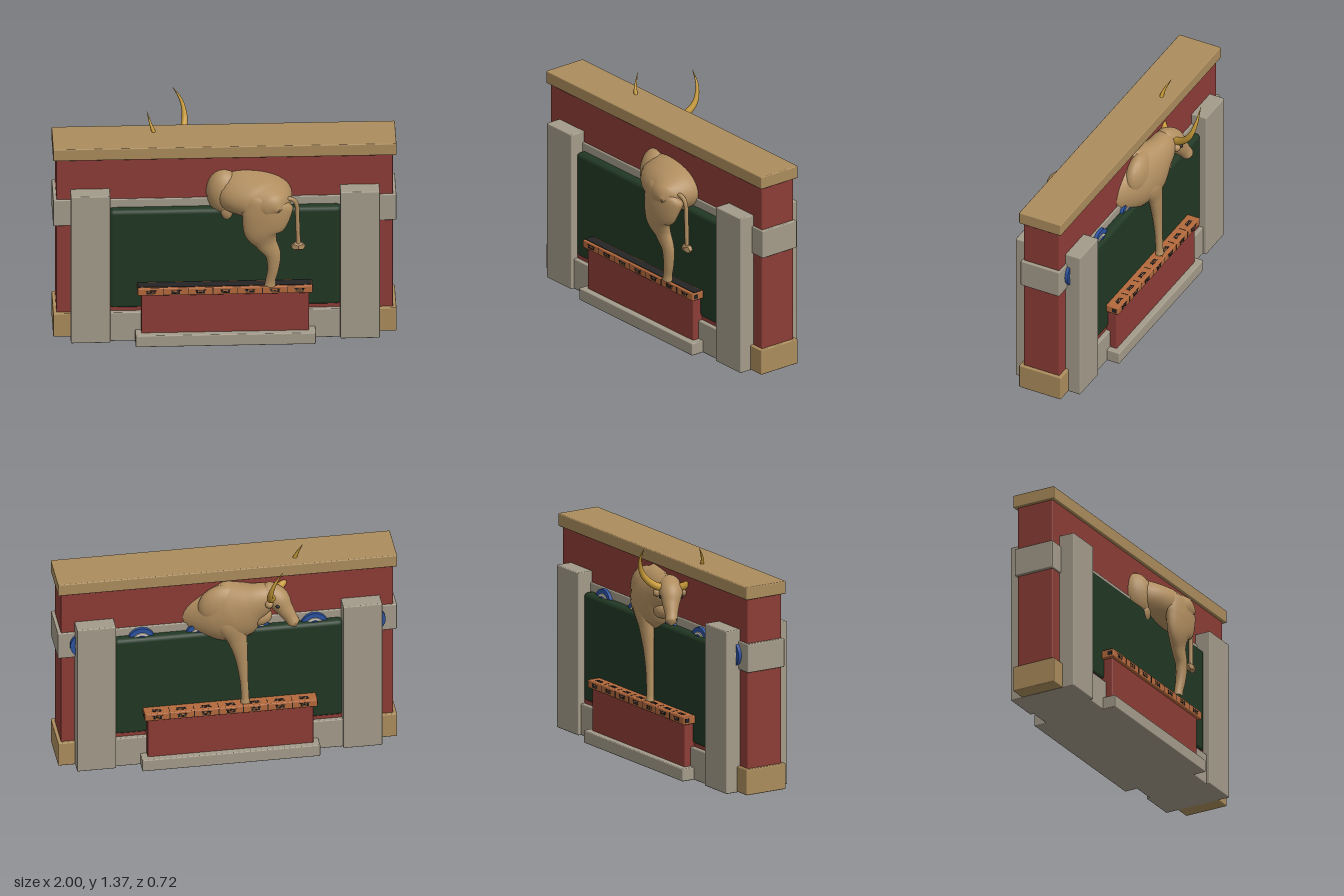
import * as THREE from 'three';
import { RoundedBoxGeometry } from 'three/addons/geometries/RoundedBoxGeometry.js';

const V = (x, y, z) => new THREE.Vector3(x, y, z);
const ZC = 0.0275; // middle of the wall thickness

function makeMaterials() {
  const colors = { brickRed: 0x8c3c36, stone: 0xa39b8a, sandstone: 0xab8c5c, hide: 0xb18e60, boardGreen: 0x213824,
    black: 0x242424, terracotta: 0xb4693c, hornGold: 0xc79a38, shieldBlue: 0x2c52a0, ivory: 0xd6cfc0 };
  const mats = {};
  for (const [name, color] of Object.entries(colors)) {
    mats[name] = new THREE.MeshStandardMaterial({ color });
    mats[name].name = name;
  }
  return mats;
}

// Smooth skin over elliptical sections [x, y, z, halfWidth, halfHeight]; ref fixes which way "height" points
function loft(sections, ref, steps = 28, sides = 24) {
  const path = new THREE.CatmullRomCurve3(sections.map(s => V(s[0], s[1], s[2])));
  const radii = new THREE.CatmullRomCurve3(sections.map(s => V(s[3], s[4], 0)));
  const pos = [], index = [];
  for (let i = 0; i <= steps; i++) {
    const t = i / steps, c = path.getPoint(t), r = radii.getPoint(t), tan = path.getTangent(t);
    const side = ref.clone().cross(tan).normalize(), up = tan.clone().cross(side);
    for (let j = 0; j < sides; j++) {
      const a = j / sides * Math.PI * 2;
      const p = c.clone().addScaledVector(side, Math.cos(a) * Math.max(r.x, 0.001))
        .addScaledVector(up, Math.sin(a) * Math.max(r.y, 0.001));
      pos.push(p.x, p.y, p.z);
      if (i < steps) {
        const k = i * sides + j, n = i * sides + (j + 1) % sides;
        index.push(k, n, k + sides, n, n + sides, k + sides);
      }
    }
  }
  const g = new THREE.BufferGeometry();
  g.setAttribute('position', new THREE.Float32BufferAttribute(pos, 3));
  g.setIndex(index);
  g.computeVertexNormals();
  return g;
}

export function createModel() {
  const root = new THREE.Group();
  root.name = 'bullWall';
  const M = makeMaterials();
  const add = (name, geo, mat, parent = root) => {
    const m = new THREE.Mesh(geo, mat);
    m.name = name;
    parent.add(m);
    return m;
  };
  // Box from extents, slightly rounded unless radius is 0
  const block = (name, x0, x1, y0, y1, z0, z1, mat, radius = 0.006, parent = root) => {
    const s = [x1 - x0, y1 - y0, z1 - z0];
    const g = radius ? new RoundedBoxGeometry(...s, 2, radius) : new THREE.BoxGeometry(...s);
    const m = add(name, g, mat, parent);
    m.position.set((x0 + x1) / 2, (y0 + y1) / 2, (z0 + z1) / 2);
    return m;
  };
  const ball = (name, p, r, mat, parent) => {
    const m = add(name, new THREE.SphereGeometry(1, 20, 14), mat, parent);
    m.position.set(...p);
    m.scale.set(...r);
    return m;
  };

  // Wall
  block('wall', -0.98, 0.98, 0.01, 1.185, -0.09, 0.145, M.brickRed);
  block('wallCap', -1, 1, 1.18, 1.257, -0.11, 0.165, M.sandstone);
  block('wallFoot', -1, 1, 0.003, 0.158, -0.11, 0.165, M.sandstone);
  block('lintel', -1, 1, 0.74, 0.912, -0.1, 0.155, M.stone);
  block('lowerBand', -0.68, 0.68, 0, 0.19, -0.165, 0.22, M.stone);
  block('lowerFillet', -0.67, 0.67, 0.15, 0.23, -0.14, 0.195, M.brickRed, 0);
  block('greenPanel', -0.675, 0.675, 0.208, 0.86, -0.15, 0.205, M.boardGreen, 0.025);
  for (const s of [-1, 1]) {
    const p = block('pillar', -0.115, 0.115, 0, 0.98, ZC - 0.213, ZC + 0.213, M.stone);
    p.position.x = s * 0.785;
  }

  // Round shields along the back of the lintel
  for (let i = 0; i < 6; i++) {
    const shield = new THREE.Group();
    shield.name = 'shield';
    shield.position.set(-0.85 + i * 0.34, 0.83, -0.1);
    shield.rotation.x = -Math.PI / 2;
    const layers = [[0.08, 0.02, M.shieldBlue], [0.052, 0.026, M.ivory], [0.036, 0.032, M.shieldBlue]];
    for (const [r, h, mat] of layers) {
      add('shieldRing', new THREE.CylinderGeometry(r, r, h, 32), mat, shield).position.y = h / 2;
    }
    ball('shieldBoss', [0, 0.03, 0], [0.018, 0.02, 0.018], M.hornGold, shield);
    root.add(shield);
  }

  // Pedestal and ledge
  block('plinth', -0.525, 0.525, 0, 0.076, ZC - 0.272, ZC + 0.272, M.stone);
  block('pedestal', -0.49, 0.487, 0.07, 0.34, ZC - 0.235, ZC + 0.235, M.brickRed);
  block('ledge', -0.512, 0.507, 0.334, 0.382, ZC - 0.255, ZC + 0.255, M.terracotta);
  block('ledgeInlay', -0.51, 0.502, 0.381, 0.385, 0.212, 0.268, M.black, 0);

  // Painted motif of small bars on the ledge: one panel drawn in its own xy plane
  const motif = (x, y, z, rx, ry, seam) => {
    const g = new THREE.Group();
    g.name = 'ledgeMotif';
    g.position.set(x, y, z);
    g.rotation.set(rx, ry, 0);
    const bars = [[0, 0.009, 0.064, 0.004], [-0.02, 0, 0.012, 0.012], [0.02, 0, 0.012, 0.012],
      [0, -0.002, 0.02, 0.006], [0, -0.01, 0.05, 0.004]];
    if (seam) bars.push([0.072, 0, 0.004, 0.04]);
    for (const [bx, by, w, h] of bars) {
      add('motifBar', new THREE.BoxGeometry(w, h, 0.003), M.black, g).position.set(bx, by, 0);
    }
    root.add(g);
  };
  for (let i = 0; i < 7; i++) {
    const x = -0.435 + i * 0.1445;
    motif(x, 0.358, ZC + 0.255, 0, 0, i < 6);
    motif(x, 0.358, ZC - 0.255, 0, Math.PI, i > 0);
    motif(x, 0.382, -0.193, -Math.PI / 2, 0, i < 6);
  }
  for (const s of [-1, 1]) {
    for (const z of [0.258, -0.203]) {
      const m = block('endMotif', -0.0015, 0.0015, 0.346, 0.37, z - 0.014, z + 0.014, M.black, 0);
      m.position.x = s > 0 ? 0.5075 : -0.5125;
    }
  }

  // Bull passing diagonally through the wall
  const bull = new THREE.Group();
  bull.name = 'bull';
  root.add(bull);
  const UP = V(0, 1, 0), FRONT = V(0, 0, 1);
  add('torso', loft([
    [0.31, 0.93, 0.355, 0.005, 0.005], [0.295, 0.935, 0.325, 0.075, 0.07], [0.25, 0.935, 0.235, 0.165, 0.12],
    [0.15, 0.945, 0.1, 0.225, 0.15], [0.05, 0.95, -0.03, 0.17, 0.19], [-0.06, 1.0, -0.105, 0.135, 0.19],
    [-0.15, 1.05, -0.14, 0.095, 0.12], [-0.24, 1.085, -0.15, 0.07, 0.075], [-0.27, 1.08, -0.16, 0.005, 0.005],
  ], UP, 48, 32), M.hide, bull);
  const belly = ball('belly', [0, 0.945, 0.135], [0.11, 0.15, 0.1], M.hide, bull);
  belly.rotation.z = 0.1;
  ball('flankFold', [0.01, 0.85, 0.17], [0.05, 0.075, 0.05], M.hide, bull);
  ball('dewlap', [-0.17, 0.955, -0.155], [0.085, 0.06, 0.055], M.hide, bull);
  ball('shoulder', [0.02, 1.02, -0.12], [0.16, 0.14, 0.075], M.hide, bull);
  add('hindLeg', loft([
    [0.27, 1.01, 0.25, 0.03, 0.02], [0.25, 0.94, 0.275, 0.15, 0.075], [0.23, 0.85, 0.295, 0.14, 0.06],
    [0.21, 0.76, 0.3, 0.105, 0.045], [0.235, 0.68, 0.285, 0.065, 0.033], [0.275, 0.6, 0.28, 0.046, 0.031],
    [0.277, 0.5, 0.275, 0.033, 0.029], [0.262, 0.42, 0.27, 0.029, 0.025], [0.258, 0.384, 0.27, 0.032, 0.026],
  ], FRONT, 40), M.hide, bull);
  add('foreLeg', loft([
    [0.0, 1.03, -0.14, 0.03, 0.02], [-0.01, 0.94, -0.165, 0.095, 0.06], [-0.045, 0.82, -0.18, 0.058, 0.038],
    [-0.07, 0.68, -0.18, 0.036, 0.029], [-0.085, 0.52, -0.182, 0.024, 0.022],
    [-0.09, 0.42, -0.184, 0.023, 0.022], [-0.09, 0.384, -0.186, 0.028, 0.025],
  ], FRONT, 36), M.hide, bull);

  // Tail and tuft
  const tail = new THREE.CatmullRomCurve3([V(0.33, 0.96, 0.27), V(0.39, 0.955, 0.265), V(0.413, 0.92, 0.26),
    V(0.42, 0.8, 0.258), V(0.425, 0.64, 0.257)]);
  add('tail', new THREE.TubeGeometry(tail, 32, 0.013, 10), M.hide, bull);
  const tuft = add('tailTuft', new THREE.DodecahedronGeometry(0.04), M.hide, bull);
  tuft.position.set(0.424, 0.637, 0.257);
  tuft.scale.set(1.1, 0.75, 0.6);

  // Head: facing along (-0.87, 0, -0.5)
  add('head', loft([
    [-0.2, 1.1, -0.125, 0.02, 0.02], [-0.225, 1.1, -0.14, 0.065, 0.07], [-0.28, 1.075, -0.165, 0.068, 0.07],
    [-0.32, 1.015, -0.19, 0.05, 0.053], [-0.355, 0.96, -0.21, 0.037, 0.04], [-0.373, 0.93, -0.222, 0.036, 0.036],
    [-0.385, 0.908, -0.23, 0.004, 0.004],
  ], UP, 36), M.hide, bull);

  // Paired features, reflected across the head's own middle plane
  const headMid = V(-0.27, 0, -0.16), across = V(0.5, 0, -0.866);
  const reflect = ([x, y, z, ...rest]) => {
    const p = V(x, y, z);
    p.addScaledVector(across, -2 * p.clone().sub(headMid).dot(across));
    return [p.x, p.y, p.z, ...rest];
  };
  const horn = [[-0.25, 1.095, -0.185, 0.024, 0.024], [-0.23, 1.125, -0.255, 0.022, 0.022],
    [-0.217, 1.19, -0.318, 0.017, 0.017], [-0.235, 1.28, -0.35, 0.01, 0.01], [-0.285, 1.368, -0.355, 0.001, 0.001]];
  for (const place of [p => p, reflect]) {
    add('horn', loft(horn.map(place), V(-0.87, 0, -0.5), 24, 14), M.hornGold, bull);
    ball('ear', place([-0.225, 1.072, -0.225]), [0.024, 0.024, 0.024], M.hide, bull);
    ball('eye', place([-0.275, 1.055, -0.23]), [0.012, 0.012, 0.012], M.black, bull);
    ball('nostril', place([-0.375, 0.943, -0.248]), [0.007, 0.007, 0.007], M.black, bull);
  }
  return root;
}
